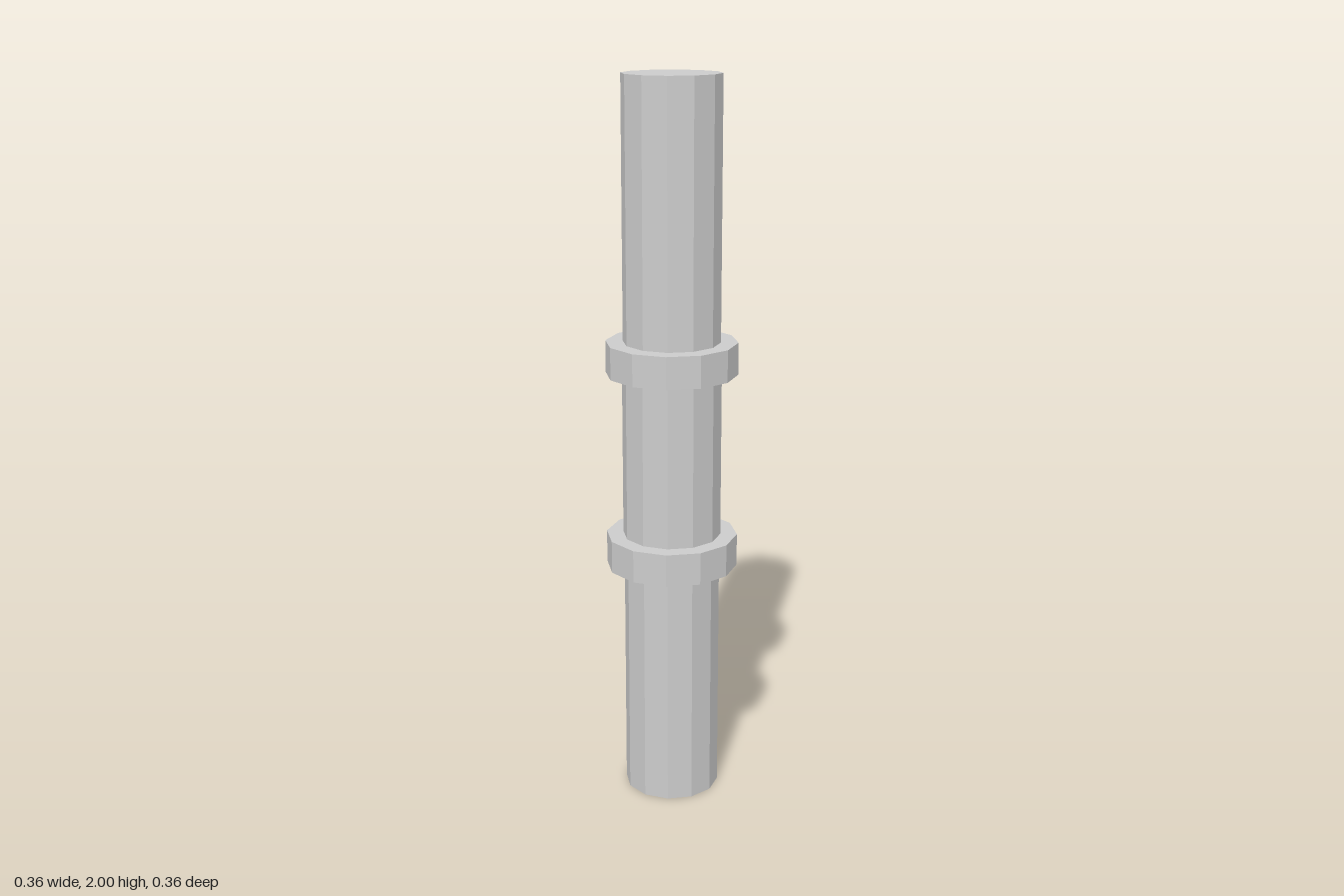
import * as THREE from 'three';

export function createModel() {
  const group = new THREE.Group();
  const material = new THREE.MeshStandardMaterial({ color: 0xcccccc, flatShading: true });

  // Twelve-sided drum between two heights
  const addDrum = (name, radius, bottom, top) => {
    const mesh = new THREE.Mesh(new THREE.CylinderGeometry(radius, radius, top - bottom, 12), material);
    mesh.position.y = (bottom + top) / 2;
    mesh.name = name;
    group.add(mesh);
  };

  // Shaft: two ends and a slightly thicker middle
  addDrum('lowerShaft', 0.132, 0, 0.667);
  addDrum('middleShaft', 0.135, 0.757, 1.212);
  addDrum('upperShaft', 0.132, 1.3, 2);

  // Collars joining the shaft sections
  addDrum('lowerCollar', 0.181, 0.667, 0.757);
  addDrum('upperCollar', 0.179, 1.212, 1.3);

  return group;
}
